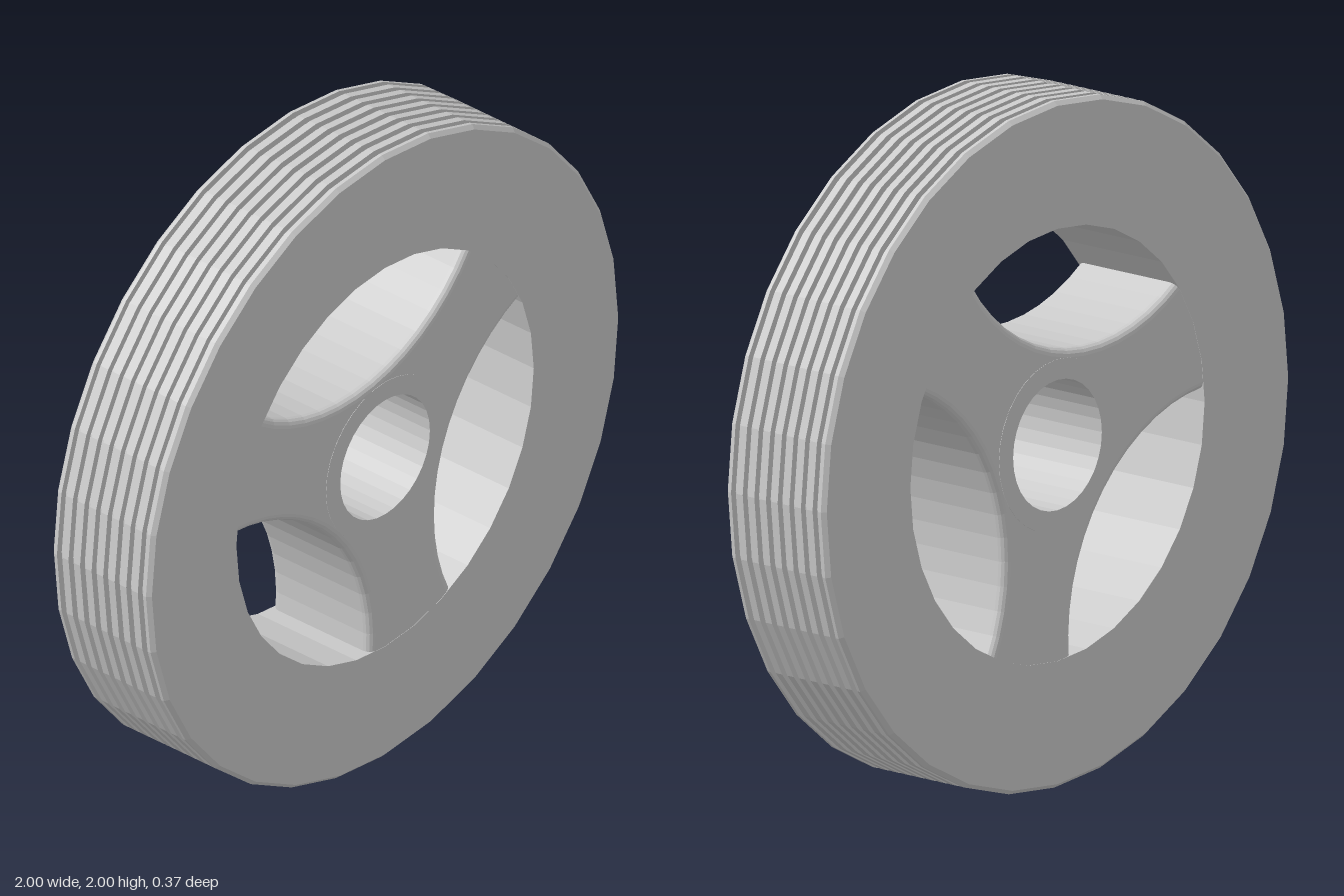
import * as THREE from 'three';

const HALF = 0.185;          // half the wheel width
const SIDES = 32;
const material = new THREE.MeshStandardMaterial({ color: 0xcccccc, flatShading: true });
const smooth = new THREE.MeshStandardMaterial({ color: 0xcccccc });

// Revolve a closed [radius, z] profile about the z axis
function ring(name, profile) {
  const points = profile.map(([r, z]) => new THREE.Vector2(r, z));
  const geometry = new THREE.LatheGeometry(points, SIDES).rotateX(Math.PI / 2);
  const mesh = new THREE.Mesh(geometry, material);
  mesh.name = name;
  return mesh;
}

// Rim with a chamfered edge and square grooves running round the tread
function createRim() {
  const inner = 0.63, chamfer = 0.012, depth = 0.02, grooves = 8;
  const pitch = 0.0435, width = 0.02;
  const profile = [[inner, -HALF], [1 - chamfer, -HALF], [1, -HALF + chamfer]];
  for (let i = 0; i < grooves; i++) {
    const z = (i - (grooves - 1) / 2) * pitch;
    const a = z - width / 2, b = z + width / 2;
    profile.push([1, a], [1 - depth, a], [1 - depth, b], [1, b]);
  }
  profile.push([1, HALF - chamfer], [1 - chamfer, HALF], [inner, HALF], [inner, -HALF]);
  return ring('rim', profile);
}

// Three spokes in one piece: round cut-outs between them, with rolled edges
function createSpokes() {
  const cutDistance = 0.89, cutRadius = 0.615, outer = 0.71, roll = 0.025;
  const half = HALF - 0.001;
  const phi = Math.acos((cutDistance ** 2 + cutRadius ** 2 - outer ** 2) / (2 * cutDistance * cutRadius));
  const alpha = Math.atan2(cutRadius * Math.sin(phi), cutDistance - cutRadius * Math.cos(phi));
  const third = Math.PI * 2 / 3;
  const polar = (r, a) => new THREE.Vector2(r * Math.cos(a), r * Math.sin(a));
  const outline = [];
  for (let i = 0; i < 3; i++) {
    const angle = THREE.MathUtils.degToRad(100.4) + i * third;
    const centre = polar(cutDistance, angle);
    const steps = 16;
    for (let j = 0; j <= steps; j++) {
      outline.push(polar(cutRadius, angle + Math.PI + phi * (1 - 2 * j / steps)).add(centre));
    }
    // spoke end, buried in the rim
    for (let j = 1; j < 5; j++) {
      outline.push(polar(outer, angle + alpha + (third - 2 * alpha) * j / 5));
    }
  }
  const shape = new THREE.Shape(outline);
  const bore = [];
  for (let j = 0; j < SIDES; j++) bore.push(polar(0.22, -j * 2 * Math.PI / SIDES));
  shape.holes.push(new THREE.Path(bore));
  const geometry = new THREE.ExtrudeGeometry(shape, {
    depth: 2 * (half - roll), bevelThickness: roll, bevelSize: roll,
    bevelOffset: -roll, bevelSegments: 4,
  }).translate(0, 0, roll - half);
  const mesh = new THREE.Mesh(geometry, smooth);
  mesh.name = 'spokes';
  return mesh;
}

// Hub sleeve with the square-edged axle bore
function createHub() {
  return ring('hub', [[0.19, -HALF], [0.25, -HALF], [0.25, HALF], [0.19, HALF], [0.19, -HALF]]);
}

export function createModel() {
  const wheel = new THREE.Group();
  wheel.name = 'wheel';
  wheel.add(createRim(), createSpokes(), createHub());
  wheel.position.y = 1;
  const model = new THREE.Group();
  model.add(wheel);
  return model;
}
